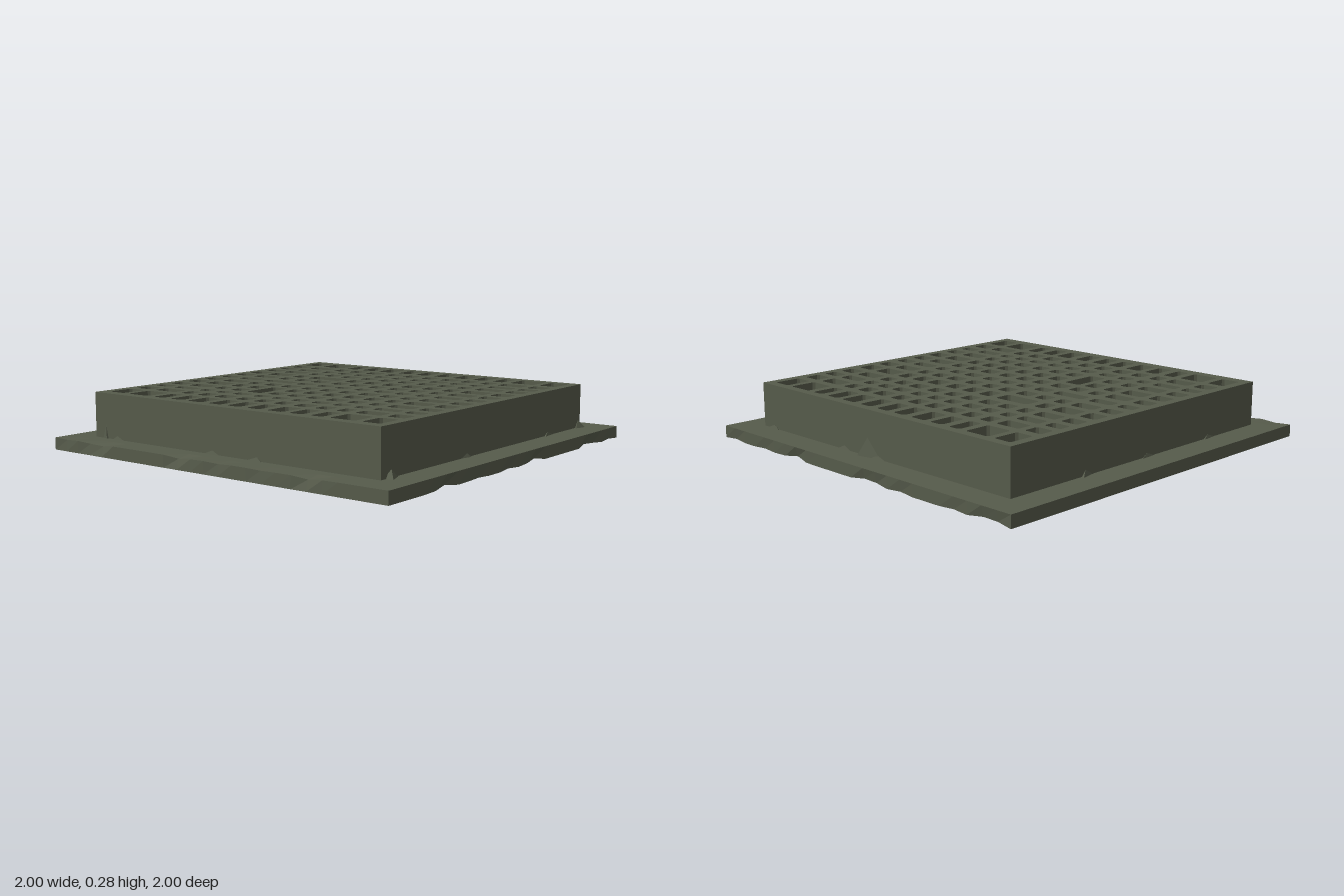
import * as THREE from 'three';
import { mergeGeometries } from 'three/addons/utils/BufferGeometryUtils.js';

const PLATE = 0.06, TOP = 0.28, HALF = 0.86;

// Opening limits [min, max] along each axis
const COLS = [[-0.815, -0.72], [-0.685, -0.55], [-0.51, -0.445], [-0.40, -0.325], [-0.29, -0.2], [-0.155, -0.08],
  [-0.04, 0.035], [0.08, 0.155], [0.2, 0.29], [0.325, 0.40], [0.445, 0.51], [0.55, 0.685], [0.72, 0.815]];
const ROWS = [[-0.815, -0.68], [-0.635, -0.555], [-0.515, -0.45], [-0.41, -0.335], [-0.29, -0.2], [-0.16, -0.085],
  [-0.035, 0.03], [0.08, 0.155], [0.195, 0.28], [0.325, 0.4], [0.445, 0.505], [0.55, 0.63], [0.67, 0.805]];
// Openings joined by a broken bar: first column, row -> last column, row
const JOINED = [[2, 6, 3, 6], [3, 4, 4, 4], [4, 8, 4, 9]];

function seeded(seed) {
  return () => (seed = (seed * 16807) % 2147483647) / 2147483647;
}

// Rectangle with small cut corners, drawn with y = -z
function opening([x0, x1], [z0, z1], c) {
  const pts = [[x0 + c, z0], [x1 - c, z0], [x1, z0 + c], [x1, z1 - c],
    [x1 - c, z1], [x0 + c, z1], [x0, z1 - c], [x0, z0 + c]];
  return new THREE.Path(pts.map(([x, z]) => new THREE.Vector2(x, -z)));
}

function listOpenings() {
  const list = [];
  COLS.forEach((col, i) => ROWS.forEach((row, j) => {
    const join = JOINED.find(([a, b, c, d]) => i >= a && i <= c && j >= b && j <= d);
    if (!join) list.push([col, row]);
    else if (join[0] === i && join[1] === j) {
      list.push([[col[0], COLS[join[2]][1]], [row[0], ROWS[join[3]][1]]]);
    }
  }));
  return list;
}

// Three-sided broken wedge standing on the plate
function shard(x, z, rx, rz, h, turn) {
  return new THREE.ConeGeometry(1, 1, 3).rotateY(turn)
    .scale(rx, h, rz).translate(x, PLATE - 0.002 + h / 2, z);
}

export function createModel() {
  const group = new THREE.Group();
  const stone = new THREE.MeshStandardMaterial({ color: 0x565b4b, flatShading: true });
  stone.name = 'mossy grey stone';
  const rand = seeded(4127);
  const add = (name, geometry) => {
    const mesh = new THREE.Mesh(geometry, stone);
    mesh.name = name;
    group.add(mesh);
  };

  // Base plate, with worn lower edges on the right and back and a worn upper edge at the front
  const plate = new THREE.BoxGeometry(2, PLATE, 2, 24, 1, 24).translate(0, PLATE / 2, 0);
  const pos = plate.attributes.position;
  const wear = (t) => Math.max(0, Math.sin(t * 7.3) * Math.sin(t * 17.1 + 1)) * 0.018;
  for (let k = 0; k < pos.count; k++) {
    const x = pos.getX(k), y = pos.getY(k), z = pos.getZ(k);
    if (Math.abs(x) > 0.999 && Math.abs(z) > 0.999) continue;
    if (y < 0.001 && x > 0.999) pos.setXYZ(k, x - wear(z), y + wear(z) * 0.7, z);
    if (y < 0.001 && z < -0.999) pos.setXYZ(k, x, y + wear(x + 2) * 0.7, z + wear(x + 2));
    if (y > 0.059 && z > 0.999) pos.setXYZ(k, x, y - wear(x) * 0.7, z - wear(x));
  }
  add('basePlate', plate);

  // Raised grille, pierced by all openings down to the plate
  const openings = listOpenings();
  const outline = new THREE.Shape([[-HALF, -HALF], [HALF, -HALF], [HALF, HALF], [-HALF, HALF]]
    .map(([x, y]) => new THREE.Vector2(x, y)));
  outline.holes = openings.map(([col, row]) => opening(col, row, 0.01));
  const grille = new THREE.ExtrudeGeometry(outline, { depth: TOP - PLATE + 0.005, bevelEnabled: false });
  add('grille', grille.rotateX(-Math.PI / 2).translate(0, PLATE - 0.005, 0));

  // Chips lodged in the corners of the openings
  const chips = [];
  for (const [[x0, x1], [z0, z1]] of openings) {
    if (rand() < 0.4) continue;
    const x = rand() < 0.5 ? x0 : x1, z = rand() < 0.5 ? z0 : z1;
    chips.push(shard(x, z, 0.025 + rand() * 0.015, 0.025 + rand() * 0.015, 0.08 + rand() * 0.1, rand() * 6));
  }
  add('openingChips', mergeGeometries(chips));

  // Small debris along the foot of the outer walls
  const debris = [
    shard(-0.8, HALF - 0.01, 0.06, 0.02, 0.15, 0.4), // front left chip
    shard(0.05, -HALF, 0.09, 0.03, 0.09, 2.6), // back chip
    shard(0.87, 0.8, 0.03, 0.05, 0.04, 1.1),
    shard(0.86, -0.84, 0.04, 0.04, 0.04, 0.3),
    shard(-0.86, -0.4, 0.02, 0.05, 0.03, 2),
  ];
  for (let k = 0; k < 10; k++) {
    const t = (rand() * 2 - 1) * 0.8, s = k % 2 ? 1 : -1;
    debris.push(k % 4 < 2
      ? shard(t, s * HALF, 0.06, 0.014, 0.02, rand() * 6)
      : shard(s * HALF, t, 0.014, 0.06, 0.02, rand() * 6));
  }
  add('wallDebris', mergeGeometries(debris));

  return group;
}
